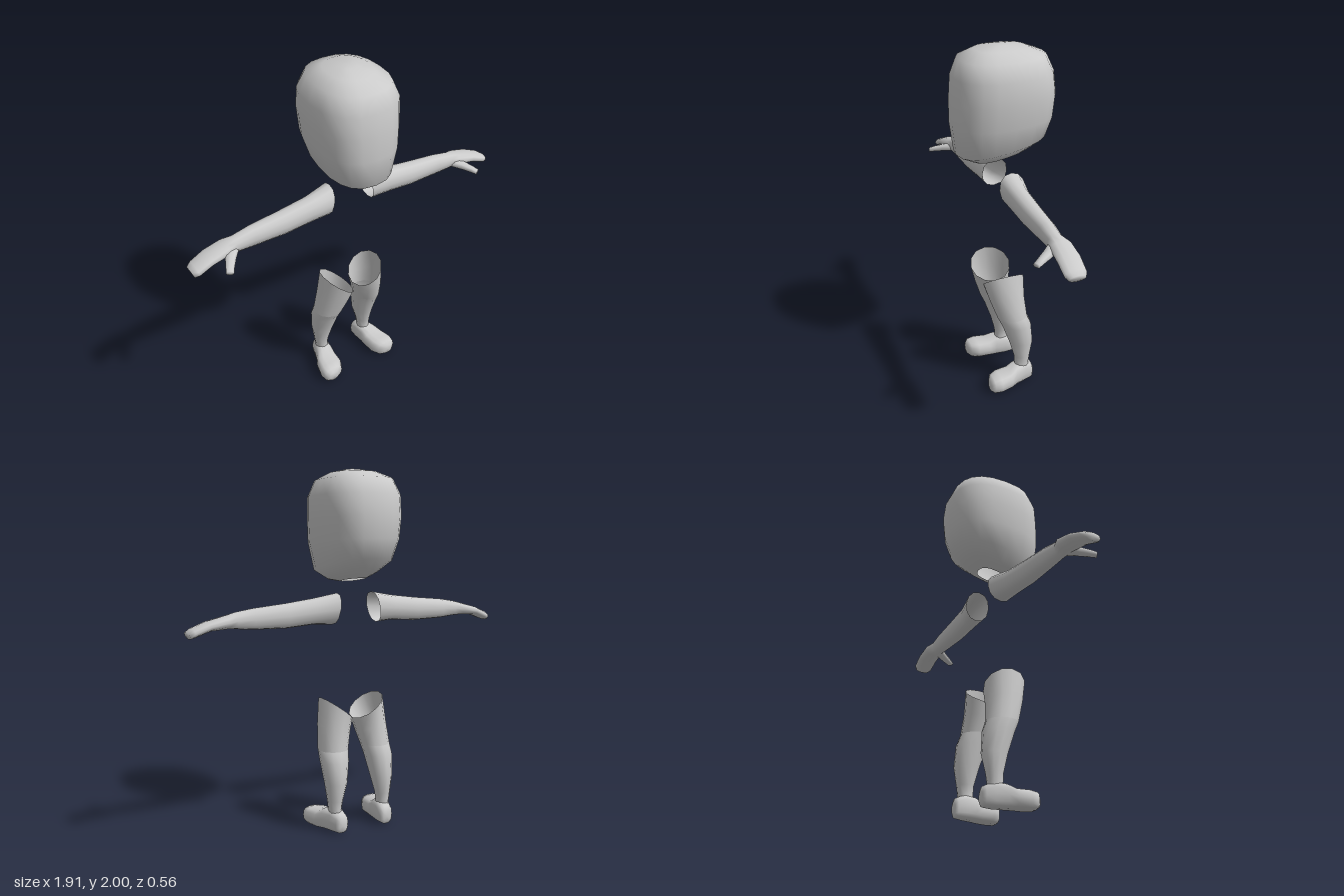
import * as THREE from 'three';

const material = new THREE.MeshStandardMaterial({ color: 0xcccccc, side: THREE.DoubleSide });
const V = (x, y, z) => new THREE.Vector3(x, y, z);
const bend = (t, p) => Math.sign(t) * Math.abs(t) ** (2 / p);

// Skin a row of superelliptic rings { c, u, v }: centre and two half-axes, u x v pointing along the row
function loft(name, rings, { sides = 12, p = 2, capStart = false, capEnd = false } = {}) {
  const pos = [], index = [];
  for (const { c, u, v } of rings) {
    for (let j = 0; j < sides; j++) {
      const a = (j / sides) * Math.PI * 2;
      const q = c.clone().addScaledVector(u, bend(Math.cos(a), p)).addScaledVector(v, bend(Math.sin(a), p));
      pos.push(q.x, q.y, q.z);
    }
  }
  for (let i = 0; i < rings.length - 1; i++) {
    for (let j = 0; j < sides; j++) {
      const a = i * sides + j, b = i * sides + (j + 1) % sides;
      index.push(a, b, a + sides, b, b + sides, a + sides);
    }
  }
  const cap = (i, flip) => {
    const mid = pos.length / 3;
    pos.push(...rings[i].c.toArray());
    for (let j = 0; j < sides; j++) {
      const a = i * sides + j, b = i * sides + (j + 1) % sides;
      index.push(mid, ...(flip ? [b, a] : [a, b]));
    }
  };
  if (capStart) cap(0, true);
  if (capEnd) cap(rings.length - 1, false);
  const geo = new THREE.BufferGeometry();
  geo.setAttribute('position', new THREE.Float32BufferAttribute(pos, 3));
  geo.setIndex(index);
  geo.computeVertexNormals();
  const mesh = new THREE.Mesh(geo, material);
  mesh.name = name;
  return mesh;
}

// Ring through two opposite points, with the other half-axis given
const span = (a, b, v) => ({
  c: a.clone().add(b).multiplyScalar(0.5),
  u: a.clone().sub(b).multiplyScalar(0.5),
  v,
});

// Head, open at the neck: front z, front y, back z, back y, half width
function makeHead() {
  const rows = [
    [0.09, 1.39, -0.07, 1.415, 0.06],
    [0.18, 1.395, -0.14, 1.455, 0.115],
    [0.262, 1.438, -0.23, 1.525, 0.185],
    [0.28, 1.6, -0.263, 1.63, 0.222],
    [0.277, 1.73, -0.275, 1.75, 0.23],
    [0.267, 1.85, -0.26, 1.865, 0.23],
    [0.235, 1.94, -0.222, 1.95, 0.19],
    [0.15, 1.983, -0.13, 1.985, 0.115],
    [0.05, 2.0, -0.03, 2.0, 0.04],
  ];
  const rings = rows.map(([zf, yf, zb, yb, w]) => span(V(0, yf, zf), V(0, yb, zb), V(w, 0, 0)));
  return loft('head', rings, { sides: 20, p: 2.5, capEnd: true });
}

// Arm and hand, open at the shoulder: top x, top y, bottom x, bottom y, back z, front z
function makeArm() {
  const rows = [
    [0.11, 1.335, 0.14, 1.163, -0.08, 0.067],
    [0.25, 1.31, 0.25, 1.168, -0.052, 0.068],
    [0.41, 1.29, 0.41, 1.156, -0.046, 0.066],
    [0.6, 1.272, 0.6, 1.16, -0.035, 0.06],
    [0.7, 1.256, 0.69, 1.168, -0.025, 0.06],
    [0.75, 1.243, 0.74, 1.172, -0.046, 0.068],
    [0.85, 1.217, 0.84, 1.166, -0.044, 0.08],
    [0.93, 1.185, 0.92, 1.137, -0.034, 0.084],
    [0.957, 1.168, 0.943, 1.13, -0.018, 0.07],
  ];
  const rings = rows.map(([xt, yt, xb, yb, z0, z1]) => {
    const r = span(V(xt, yt, 0), V(xb, yb, 0), V(0, 0, (z1 - z0) / 2));
    r.c.z = (z0 + z1) / 2;
    return r;
  });
  return loft('arm', rings, { p: 2.2, capEnd: true });
}

// Thumb: centre x, y, z, half width, half height
function makeThumb() {
  const rows = [
    [0.72, 1.2, 0.035, 0.035, 0.024],
    [0.755, 1.188, 0.085, 0.028, 0.02],
    [0.785, 1.176, 0.135, 0.022, 0.016],
    [0.8, 1.168, 0.162, 0.02, 0.012],
  ];
  const rings = rows.map(([x, y, z, w, h]) => ({ c: V(x, y, z), u: V(0, h, 0), v: V(-0.86 * w, 0, 0.5 * w) }));
  return loft('thumb', rings, { sides: 8, p: 2.4, capEnd: true });
}

// Leg sections: outer x, outer y, inner x, inner y, back z, front z
const legRings = (rows) => rows.map(([xo, yo, xi, yi, z0, z1]) => {
  const r = span(V(xo, yo, 0), V(xi, yi, 0), V(0, 0, (z1 - z0) / 2));
  r.c.z = (z0 + z1) / 2;
  return r;
});

function makeLeg() {
  const leg = new THREE.Group();
  leg.name = 'leg';
  const knee = [0.222, 0.46, 0.052, 0.46, -0.092, 0.085];
  leg.add(loft('thigh', legRings([
    [0.187, 0.75, 0.012, 0.615, -0.085, 0.155],
    [0.208, 0.6, 0.03, 0.545, -0.081, 0.124],
    knee,
  ])));
  leg.add(loft('shin', legRings([
    knee,
    [0.224, 0.4, 0.063, 0.4, -0.115, 0.057],
    [0.212, 0.28, 0.086, 0.28, -0.126, 0.015],
    [0.2, 0.18, 0.112, 0.18, -0.106, -0.012],
    [0.193, 0.13, 0.12, 0.13, -0.1, -0.014],
    [0.193, 0.08, 0.115, 0.08, -0.1, -0.01],
  ])));
  // Foot, heel to toe: z, centre x, half width, bottom y, top y
  const foot = [
    [-0.13, 0.145, 0.022, 0.02, 0.08],
    [-0.118, 0.146, 0.04, 0.004, 0.11],
    [-0.07, 0.152, 0.05, 0, 0.132],
    [-0.01, 0.165, 0.058, 0, 0.128],
    [0.03, 0.177, 0.068, 0, 0.106],
    [0.1, 0.188, 0.075, 0, 0.104],
    [0.142, 0.196, 0.06, 0.003, 0.097],
    [0.16, 0.202, 0.03, 0.015, 0.075],
  ].map(([z, x, w, y0, y1]) => ({ c: V(x, (y0 + y1) / 2, z), u: V(w, 0, 0), v: V(0, (y1 - y0) / 2, 0) }));
  leg.add(loft('foot', foot, { sides: 14, p: 2.7, capStart: true, capEnd: true }));
  return leg;
}

export function createModel() {
  const model = new THREE.Group();
  model.name = 'figure';
  model.add(makeHead());
  // Limbs on both sides
  for (const side of [1, -1]) {
    const limbs = new THREE.Group();
    limbs.name = side > 0 ? 'leftLimbs' : 'rightLimbs';
    limbs.add(makeArm(), makeThumb(), makeLeg());
    limbs.scale.x = side;
    model.add(limbs);
  }
  return model;
}
